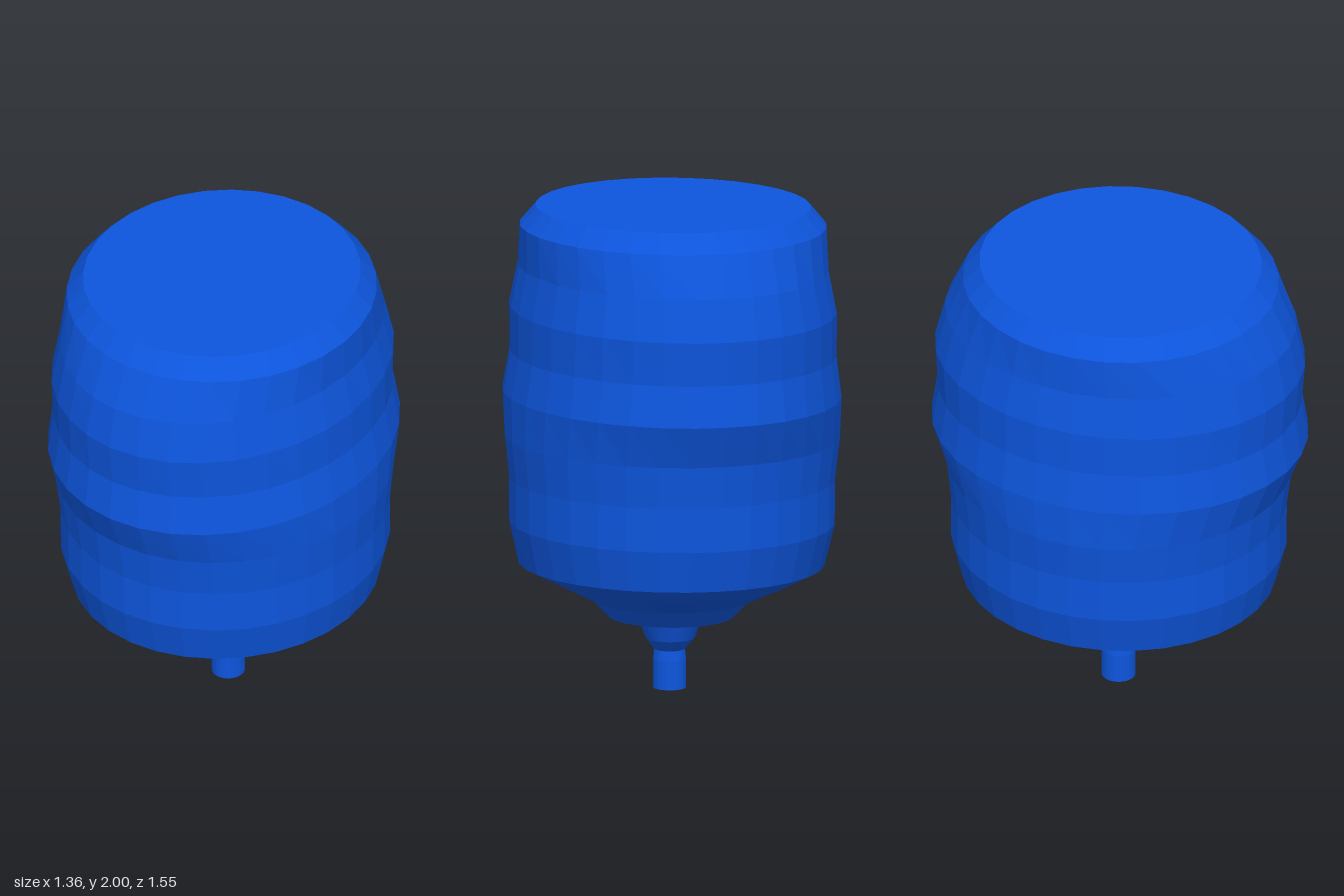
import * as THREE from 'three';

const SIDES = 32;

// Flat-shaded loft through elliptical rings, listed top to bottom and capped at both ends.
// ring: [y, radiusX, radiusZ, centreX, centreZ, tilt]
function loft(name, rings, material) {
  const pos = [];
  const point = ([y, rx, rz, cx, cz, tilt], i) => {
    const a = (i / SIDES) * Math.PI * 2;
    const x = rx * Math.cos(a), z = rz * Math.sin(a);
    return [cx + x, y + tilt * (x - z), cz + z];
  };
  const centre = ([y, , , cx, cz]) => [cx, y, cz];
  const first = rings[0], last = rings[rings.length - 1];
  for (let i = 0; i < SIDES; i++) {
    pos.push(...centre(first), ...point(first, i + 1), ...point(first, i));
    for (let r = 0; r < rings.length - 1; r++) {
      const a = point(rings[r], i), b = point(rings[r], i + 1);
      const c = point(rings[r + 1], i + 1), d = point(rings[r + 1], i);
      pos.push(...a, ...b, ...d, ...b, ...c, ...d);
    }
    pos.push(...centre(last), ...point(last, i), ...point(last, i + 1));
  }
  const geometry = new THREE.BufferGeometry();
  geometry.setAttribute('position', new THREE.Float32BufferAttribute(pos, 3));
  geometry.computeVertexNormals();
  const mesh = new THREE.Mesh(geometry, material);
  mesh.name = name;
  return mesh;
}

export function createModel() {
  const group = new THREE.Group();
  group.name = 'punchBag';
  const blue = new THREE.MeshStandardMaterial({ color: 0x0d55dd, flatShading: true });

  // Bulging bag, slightly tilted, tapering underneath
  const t = 0.012;
  group.add(loft('body', [
    [1.992, 0.557, 0.575, -0.012, 0.005, t],
    [1.914, 0.622, 0.644, -0.012, 0.006, t],
    [1.743, 0.622, 0.722, -0.012, 0.006, t],
    [1.571, 0.655, 0.762, -0.01, 0.002, t],
    [1.39, 0.655, 0.748, -0.01, 0, t],
    [1.222, 0.68, 0.774, -0.005, 0, t],
    [1.045, 0.68, 0.704, -0.005, -0.002, t],
    [0.873, 0.661, 0.685, -0.003, -0.005, t],
    [0.69, 0.66, 0.685, -0.003, -0.005, t],
    [0.518, 0.62, 0.644, 0, -0.007, t],
    [0.452, 0.49, 0.515, 0, -0.008, t],
    [0.37, 0.325, 0.327, 0.004, -0.012, t],
    [0.3, 0.256, 0.266, 0.005, -0.011, 0.006],
  ], blue));

  // Funnel-shaped neck and the narrow stem below it
  group.add(loft('neck', [
    [0.32, 0.13, 0.137, 0.005, -0.01, 0],
    [0.29, 0.13, 0.137, 0.005, -0.01, 0],
    [0.207, 0.1, 0.105, 0.006, -0.01, 0],
    [0.16, 0.062, 0.064, 0.009, -0.011, 0],
  ], blue));
  group.add(loft('stem', [
    [0.165, 0.062, 0.064, 0.009, -0.011, 0],
    [0.12, 0.067, 0.069, 0.009, -0.011, 0],
    [0, 0.067, 0.069, 0.009, -0.011, 0],
  ], blue));
  return group;
}
